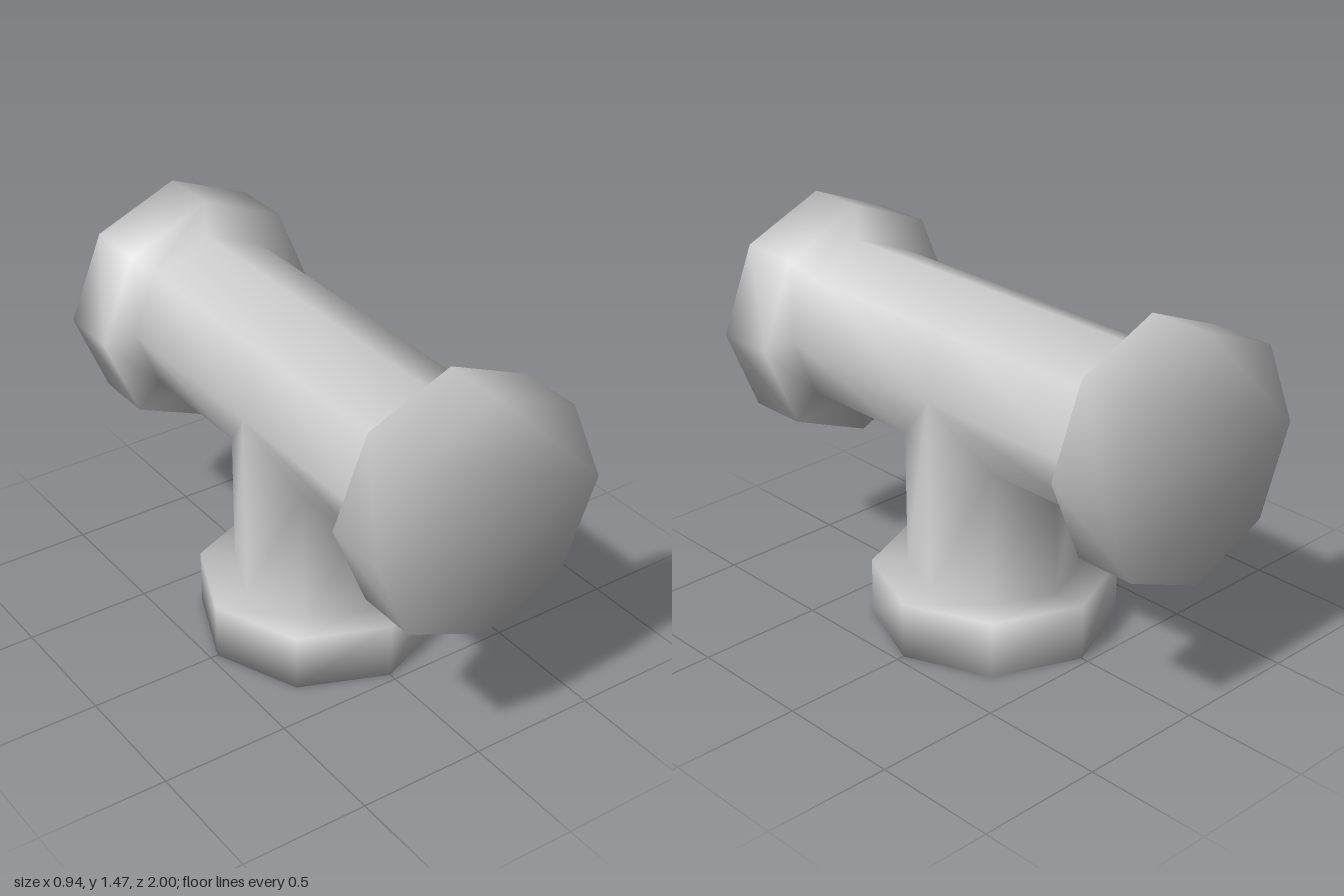
import * as THREE from 'three';
import { mergeGeometries, mergeVertices } from 'three/addons/utils/BufferGeometryUtils.js';

const SIDES = 8;
const PIPE = 0.332;   // pipe radius
const FLANGE = 0.47;  // flange radius
const CENTRE = 1;     // height of the crossing axes

// One branch: mitred start, octagonal pipe, stepped flange and flat end cap.
// miter(s) gives the start distance; place(a, b, l) maps section and length to space.
function branch(flangeStart, miter, place) {
  const rings = [
    [PIPE, (s) => PIPE * miter(s)],
    [PIPE, () => flangeStart],
    [FLANGE, () => flangeStart],
    [FLANGE, () => 1],
  ];
  const positions = [];
  const index = [];
  for (const [radius, along] of rings) {
    for (let j = 0; j < SIDES; j++) {
      const angle = (j / SIDES) * Math.PI * 2;
      const c = Math.cos(angle), s = Math.sin(angle);
      positions.push(...place(radius * c, radius * s, along(s)));
    }
  }
  for (let i = 0; i < rings.length - 1; i++) {
    for (let j = 0; j < SIDES; j++) {
      const k = (j + 1) % SIDES;
      const a = i * SIDES + j, b = i * SIDES + k;
      index.push(a, b, b + SIDES, a, b + SIDES, a + SIDES);
    }
  }
  // end cap
  const last = (rings.length - 1) * SIDES;
  for (let j = 1; j < SIDES - 1; j++) index.push(last, last + j, last + j + 1);

  const geometry = new THREE.BufferGeometry();
  geometry.setAttribute('position', new THREE.Float32BufferAttribute(positions, 3));
  geometry.setIndex(index);
  return geometry;
}

export function createModel() {
  const group = new THREE.Group();
  group.name = 'pipeTee';

  // the run is cut on its lower half only, the stem all round
  const runMiter = (s) => Math.max(0, -s);
  const stemMiter = (s) => Math.abs(s);

  const branches = [
    branch(0.757, runMiter, (a, b, l) => [a, CENTRE + b, l]),    // front
    branch(0.757, runMiter, (a, b, l) => [-a, CENTRE + b, -l]),  // back
    branch(0.775, stemMiter, (a, b, l) => [a, CENTRE - l, b]),   // stem
  ];

  // welded into one skin so the shading flows across the joints
  const geometry = mergeVertices(mergeGeometries(branches), 1e-4);
  geometry.computeVertexNormals();

  const body = new THREE.Mesh(geometry, new THREE.MeshStandardMaterial({ color: 0xcccccc }));
  body.name = 'flangedTeeBody';
  group.add(body);
  return group;
}
